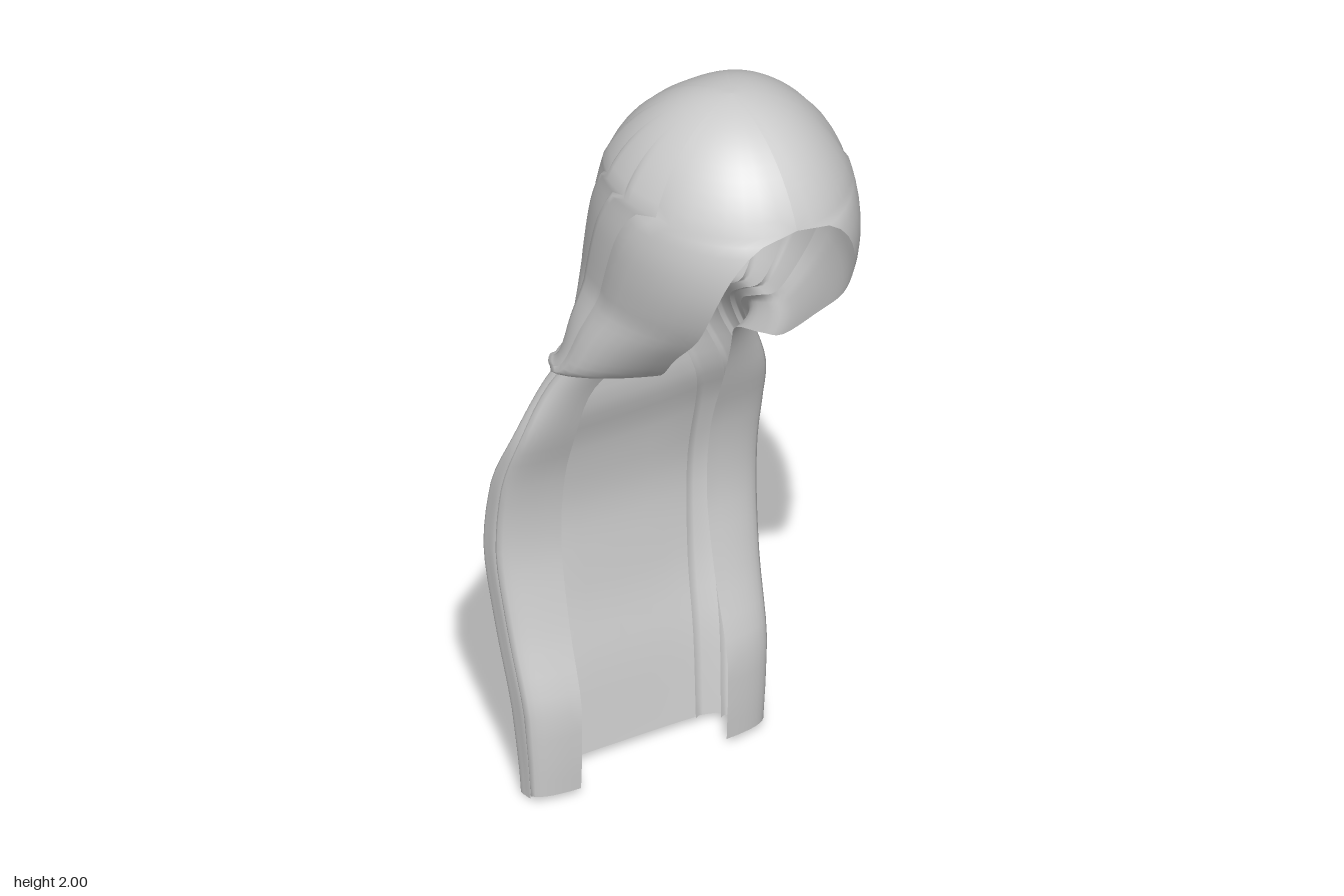
import * as THREE from 'three';

const { lerp, clamp, smoothstep } = THREE.MathUtils;
const hairMaterial = new THREE.MeshStandardMaterial({ color: 0xcccccc, side: THREE.DoubleSide });
hairMaterial.name = 'pale grey hair';

// Horizontal sections from hem to brow: [y, front z, back z, half width]
const SECTIONS = [
  [0.02, -0.20, -0.305, 0.29],
  [0.22, -0.195, -0.335, 0.303],
  [0.42, -0.25, -0.385, 0.315],
  [0.62, -0.285, -0.41, 0.328],
  [0.80, -0.27, -0.37, 0.328],
  [0.95, -0.22, -0.305, 0.308],
  [1.10, -0.16, -0.285, 0.25],
  [1.20, -0.08, -0.245, 0.205],
  [1.26, 0.04, -0.20, 0.195],
  [1.30, 0.12, -0.165, 0.215],
  [1.40, 0.21, -0.18, 0.26],
  [1.50, 0.30, -0.195, 0.28],
  [1.60, 0.355, -0.185, 0.28],
  [1.70, 0.39, -0.165, 0.275],
  [1.80, 0.415, -0.135, 0.258],
];
const BROW = SECTIONS.length - 1;
const STEPS = 4;
const CROWN_STEPS = 12;
const CROWN_START = 0.4;
const COLUMNS = 8;

// Smooth interpolation between sections; past the brow the crown closes as a dome
function sectionAt(row) {
  if (row > BROW) {
    const angle = lerp(CROWN_START, Math.PI / 2, row - BROW);
    const shrink = Math.cos(angle) / Math.cos(CROWN_START);
    const rise = (Math.sin(angle) - Math.sin(CROWN_START)) / (1 - Math.sin(CROWN_START));
    const [y, front, back, width] = SECTIONS[BROW];
    return [y + 0.2 * rise, lerp(0.135, front, shrink), lerp(0.135, back, shrink), width * shrink];
  }
  const i = Math.min(Math.floor(row), BROW - 1);
  const t = row - i;
  const at = (k) => SECTIONS[clamp(k, 0, BROW)];
  return SECTIONS[i].map((b, n) => {
    const a = at(i - 1)[n], c = at(i + 1)[n], d = at(i + 2)[n];
    const v = b + 0.5 * t * (c - a + t * (2 * a - 5 * b + 4 * c - d + t * (3 * (b - c) + d - a)));
    return clamp(v, Math.min(b, c), Math.max(b, c));
  });
}

// Half width of the front opening: straight below, pinched at the neck, arched over the face
function openingAt(y) {
  if (y < 1.5) return 0.185 - 0.055 * Math.exp(-(((y - 1.25) / 0.12) ** 2));
  return 0.185 * Math.pow(Math.max(0, 1 - Math.pow((y - 1.5) / 0.3, 2.5)), 0.4);
}

// Point on the C-shaped section: u = 0 is the back, u = +-1 the front edges
function hairPoint(row, u, lift) {
  const [y, front, back, width] = sectionAt(row);
  // The right side flips outward at the jaw
  const flare = 0.12 * Math.pow(clamp((1.5 - y) / 0.2, 0, 1.15), 1.3) * smoothstep(y, 1.21, 1.27);
  const flip = u < 0 ? flare : 0;
  // The hanging length is square and hollow down the back; the hood is fuller behind
  const hood = smoothstep(y, 0.8, 1.25);
  const p = lerp(0.62, 1, hood);
  const fullness = lerp(1, 1.2, hood);
  const hollow = 0.04 * Math.exp(-(((y - 0.62) / 0.3) ** 2));
  const opening = openingAt(y);
  const end = opening > 0 ? Math.PI - Math.asin(Math.pow(opening / width, 1 / p)) : Math.PI;
  const a = Math.abs(u) * end;
  const sin = Math.sin(a), cos = Math.cos(a);
  const pow = (v) => Math.sign(v) * Math.pow(Math.abs(v), p);
  const forward = Math.max(0, (1 - pow(cos)) / (1 - pow(Math.cos(end))));
  const raise = lift * (1 - smoothstep(y, 1.72, 1.97));
  return [
    Math.sign(u) * (width * pow(sin) + flip * sin ** 3 + raise * sin),
    y,
    lerp(back, front, Math.pow(forward, fullness)) - raise * cos + hollow * Math.max(0, cos) ** 6,
  ];
}

// One lock runs from hem to crown; its rear edge steps up from its neighbour
function makeLock(name, u0, u1, lift, hem) {
  const positions = [], index = [];
  const rows = BROW * STEPS + CROWN_STEPS;
  for (let r = 0; r <= rows; r++) {
    const row = r <= BROW * STEPS ? r / STEPS : BROW + (r - BROW * STEPS) / CROWN_STEPS;
    for (let c = 0; c <= COLUMNS; c++) {
      const t = c / COLUMNS;
      const [x, y, z] = hairPoint(row, lerp(u0, u1, t), c === 0 ? 0 : lift * (1 - t));
      positions.push(x, r === 0 ? y - hem : y, z);
      if (r < rows && c < COLUMNS) {
        const k = r * (COLUMNS + 1) + c, n = k + COLUMNS + 1;
        index.push(k, n, k + 1, k + 1, n, n + 1);
      }
    }
  }
  const geometry = new THREE.BufferGeometry();
  geometry.setAttribute('position', new THREE.Float32BufferAttribute(positions, 3));
  geometry.setIndex(index);
  geometry.computeVertexNormals();
  const lock = new THREE.Mesh(geometry, hairMaterial);
  lock.name = name;
  return lock;
}

export function createModel() {
  const hair = new THREE.Group();
  hair.name = 'longHair';

  // Broad smooth lock down the middle of the back
  hair.add(makeLock('backLock', -0.16, 0.16, 0, 0));

  // Stepped side locks, mirrored
  const edges = [0.16, 0.28, 0.39, 0.5, 0.62, 1];
  for (const side of [1, -1]) {
    for (let i = 0; i < edges.length - 1; i++) {
      const name = `${side > 0 ? 'left' : 'right'}Lock${i + 1}`;
      hair.add(makeLock(name, side * edges[i], side * edges[i + 1], 0.01, i % 2 ? 0.02 : 0.005));
    }
  }
  return hair;
}
